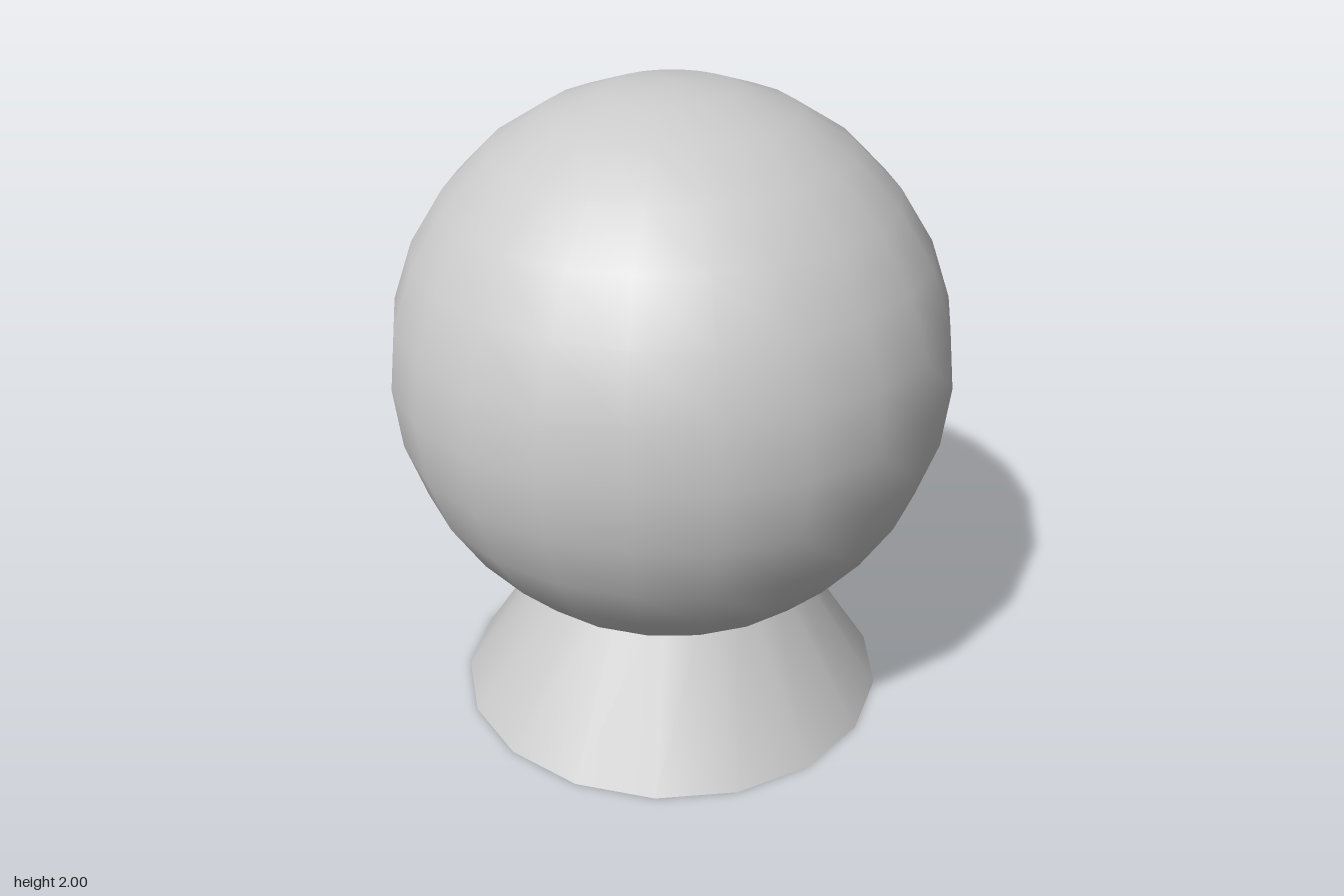
import * as THREE from 'three';

export function createModel() {
  const group = new THREE.Group();
  group.name = 'globeOnStand';
  const material = new THREE.MeshStandardMaterial({ color: 0xcccccc });

  // Large ball, turned so that a meridian faces the front
  const ballRadius = 0.85;
  const ball = new THREE.Mesh(new THREE.SphereGeometry(ballRadius, 22, 14), material);
  ball.name = 'ball';
  ball.rotation.y = Math.PI / 2;
  ball.position.y = 2 - ballRadius;
  group.add(ball);

  // Flared stand, its top sunk a little into the ball
  const standHeight = 0.5;
  const stand = new THREE.Mesh(
    new THREE.CylinderGeometry(0.36, 0.68, standHeight, 17, 1, false, Math.PI * 1.25),
    material
  );
  stand.name = 'stand';
  stand.position.y = standHeight / 2;
  group.add(stand);

  return group;
}
